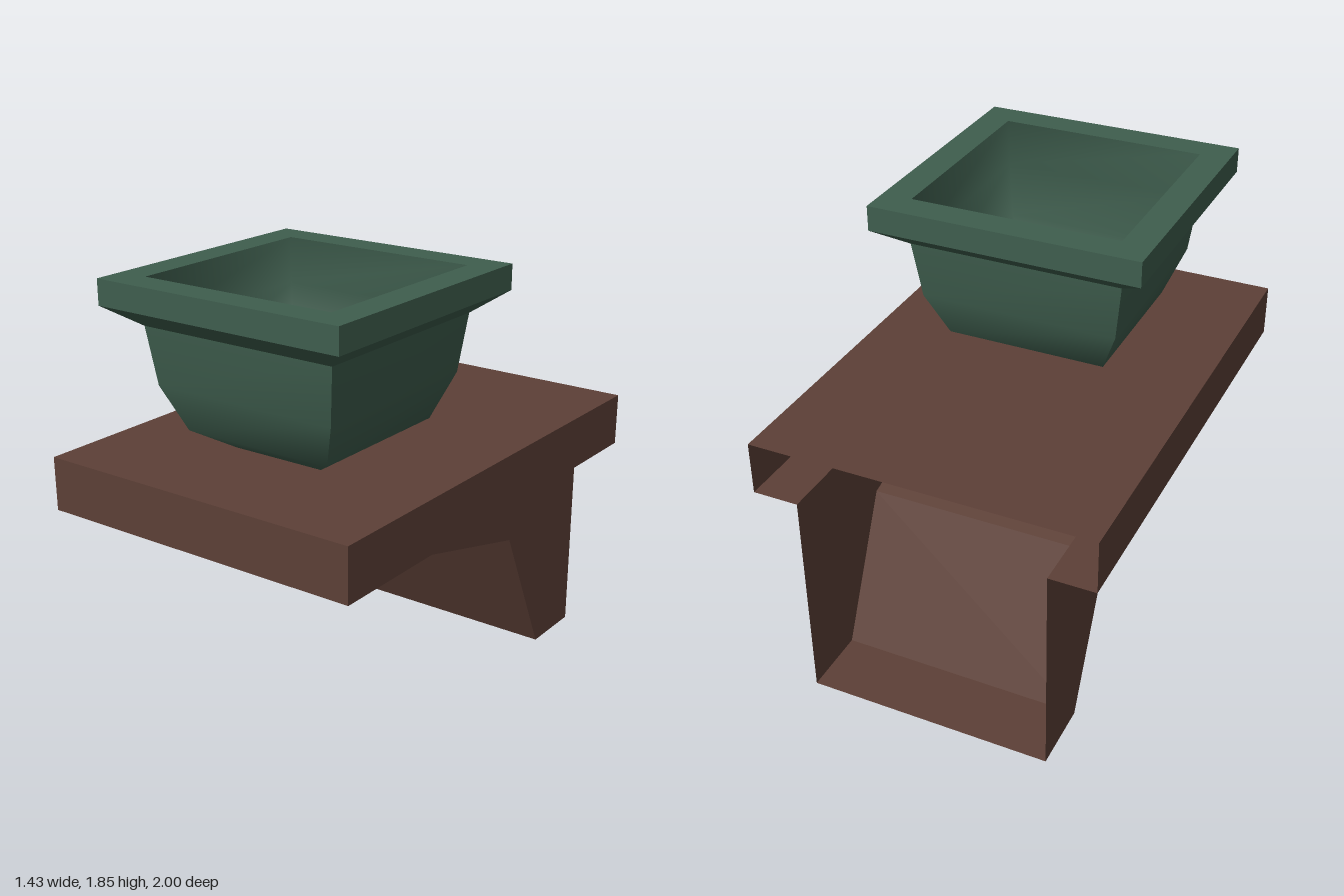
import * as THREE from 'three';

const brown = new THREE.MeshStandardMaterial({ name: 'brownWood', color: 0x5d4037, side: THREE.DoubleSide });
const green = new THREE.MeshStandardMaterial({ name: 'greenGlaze', color: 0x3f5e4e, side: THREE.DoubleSide });

function addMesh(parent, name, geometry, material) {
  const mesh = new THREE.Mesh(geometry, material);
  mesh.name = name;
  parent.add(mesh);
  return mesh;
}

// Flat four-cornered sheet, corners counter-clockwise seen from its front
function quad(a, b, c, d) {
  const g = new THREE.BufferGeometry();
  g.setAttribute('position', new THREE.Float32BufferAttribute([...a, ...b, ...c, ...d], 3));
  g.setIndex([0, 1, 2, 0, 2, 3]);
  g.computeVertexNormals();
  return g;
}

function flatShape(points) {
  return new THREE.ShapeGeometry(new THREE.Shape(points.map(([x, y]) => new THREE.Vector2(x, y))));
}

// Square rings [half width, y] joined into walls; corners may be shared (soft) or split (sharp)
function squareLoft(rings, softCorners) {
  const corners = [[1, 1], [1, -1], [-1, -1], [-1, 1]];
  const pos = [], index = [];
  const perRing = softCorners ? 4 : 8;
  for (const [h, y] of rings) {
    for (let s = 0; s < 4; s++) {
      const ends = softCorners ? [corners[s]] : [corners[s], corners[(s + 1) % 4]];
      for (const [x, z] of ends) pos.push(x * h, y, z * h);
    }
  }
  for (let i = 0; i < rings.length - 1; i++) {
    for (let s = 0; s < 4; s++) {
      const a = i * perRing + (softCorners ? s : s * 2);
      const b = i * perRing + (softCorners ? (s + 1) % 4 : s * 2 + 1);
      index.push(a, b, b + perRing, a, b + perRing, a + perRing);
    }
  }
  const g = new THREE.BufferGeometry();
  g.setAttribute('position', new THREE.Float32BufferAttribute(pos, 3));
  g.setIndex(index);
  g.computeVertexNormals();
  return g;
}

function makeShelf() {
  const shelf = new THREE.Group();
  shelf.name = 'shelf';
  const w = 0.713, top = 1.148, low = 0.925;
  addMesh(shelf, 'shelfTop', quad([-w, top, 1], [w, top, 1], [w, top, -1], [-w, top, -1]), brown);
  addMesh(shelf, 'shelfFront', quad([-w, low, 1], [w, low, 1], [w, top, 1], [-w, top, 1]), brown);
  addMesh(shelf, 'shelfLeftEdge', quad([w, low, 1], [w, low, -1], [w, top, -1], [w, top, 1]), brown);
  addMesh(shelf, 'shelfRightEdge', quad([-w, low, -1], [-w, low, 1], [-w, top, 1], [-w, top, -1]), brown);
  // Underside ledge, open above the hollow bracket
  const ledge = flatShape([[-w, -1], [-0.52, -1], [-0.52, 0.82], [0.52, 0.82], [0.52, -1], [w, -1], [w, 1], [-w, 1]]);
  ledge.rotateX(Math.PI / 2).translate(0, low, 0);
  addMesh(shelf, 'shelfUnderside', ledge, brown);
  return shelf;
}

function makeBracket() {
  const bracket = new THREE.Group();
  bracket.name = 'bracket';
  const w = 0.52;
  const path = [[-1, 0], [-0.715, 0], [-0.43, 0.605], [0.82, 0.925]]; // z, y
  for (const side of [-1, 1]) {
    const wall = flatShape([...path, [-1, 0.925]]);
    wall.rotateY(-Math.PI / 2).translate(side * w, 0, 0);
    addMesh(bracket, side > 0 ? 'bracketLeftWall' : 'bracketRightWall', wall, brown);
  }
  // Foot, steep front and sloping underside
  ['bracketFoot', 'bracketFront', 'bracketSlope'].forEach((name, i) => {
    const [z0, y0] = path[i], [z1, y1] = path[i + 1];
    addMesh(bracket, name, quad([-w, y0, z0], [w, y0, z0], [w, y1, z1], [-w, y1, z1]), brown);
  });
  return bracket;
}

function makePot() {
  const pot = new THREE.Group();
  pot.name = 'pot';
  pot.position.z = 0.285;
  addMesh(pot, 'potBody', squareLoft([[0.21, 1.148], [0.34, 1.23], [0.417, 1.42], [0.447, 1.66]], false), green);
  // Square rim: sloped underside, upright band and flat top
  addMesh(pot, 'rimUnderside', squareLoft([[0.447, 1.66], [0.565, 1.745]], false), green);
  addMesh(pot, 'rimBand', squareLoft([[0.565, 1.745], [0.565, 1.85]], false), green);
  addMesh(pot, 'rimTop', squareLoft([[0.565, 1.85], [0.438, 1.85]], false), green);
  // Softly rounded hollow
  const hollow = [[0.438, 1.85], [0.425, 1.66], [0.395, 1.43], [0.31, 1.26], [0.19, 1.19], [0.001, 1.17]];
  addMesh(pot, 'potHollow', squareLoft(hollow, true), green);
  return pot;
}

export function createModel() {
  const model = new THREE.Group();
  model.name = 'pottedShelf';
  model.add(makeShelf(), makeBracket(), makePot());
  return model;
}
